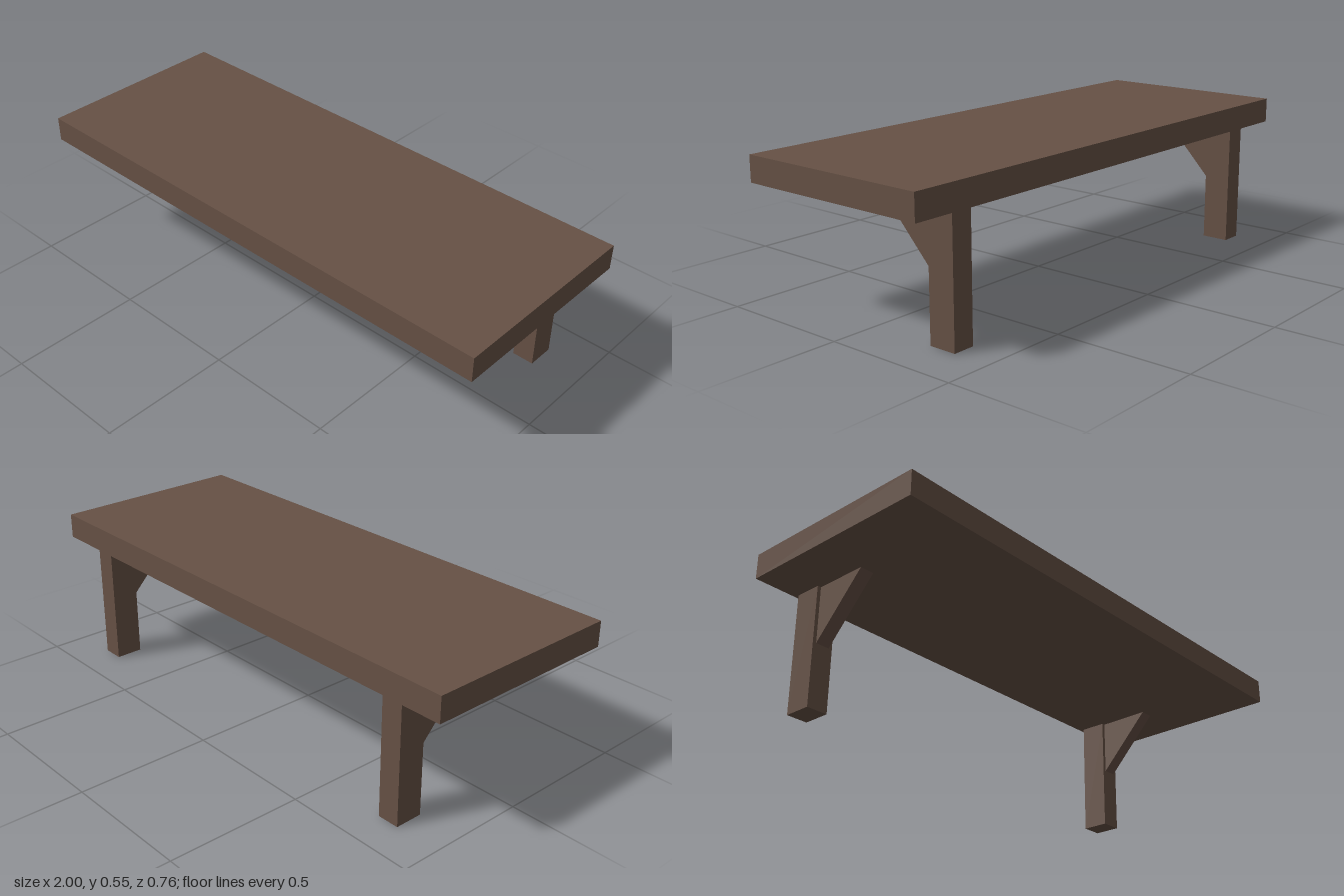
import * as THREE from 'three';

const TOP_Y = 0.548, UNDER_Y = 0.454;
const LEG_X = 0.79, LEG_FRONT = -0.258, LEG_BACK = -0.362;

export function createModel() {
  const model = new THREE.Group();
  model.name = 'shelfTable';
  const wood = new THREE.MeshStandardMaterial({ color: 0x665145 });
  wood.name = 'dark brown wood';

  const add = (name, geometry, x, y, z) => {
    const mesh = new THREE.Mesh(geometry, wood);
    mesh.name = name;
    mesh.position.set(x, y, z);
    model.add(mesh);
  };

  // Thick plank top
  add('top', new THREE.BoxGeometry(2, TOP_Y - UNDER_Y, 0.758), 0, (TOP_Y + UNDER_Y) / 2, 0);

  // Triangular brace profile: shape x becomes world z, extruded across x
  const braceWidth = 0.054;
  const profile = new THREE.Shape([
    new THREE.Vector2(LEG_FRONT, 0.239),
    new THREE.Vector2(-0.052, UNDER_Y),
    new THREE.Vector2(LEG_FRONT, UNDER_Y),
  ]);
  const brace = new THREE.ExtrudeGeometry(profile, { depth: braceWidth, bevelEnabled: false });
  brace.translate(0, 0, -braceWidth / 2).rotateY(-Math.PI / 2);

  // Rear legs, each with a brace towards the front
  const leg = new THREE.BoxGeometry(0.082, UNDER_Y, LEG_FRONT - LEG_BACK);
  for (const [side, s] of [['left', 1], ['right', -1]]) {
    add(side + 'Leg', leg, s * LEG_X, UNDER_Y / 2, (LEG_FRONT + LEG_BACK) / 2);
    add(side + 'Brace', brace, s * LEG_X, 0, 0);
  }
  return model;
}
